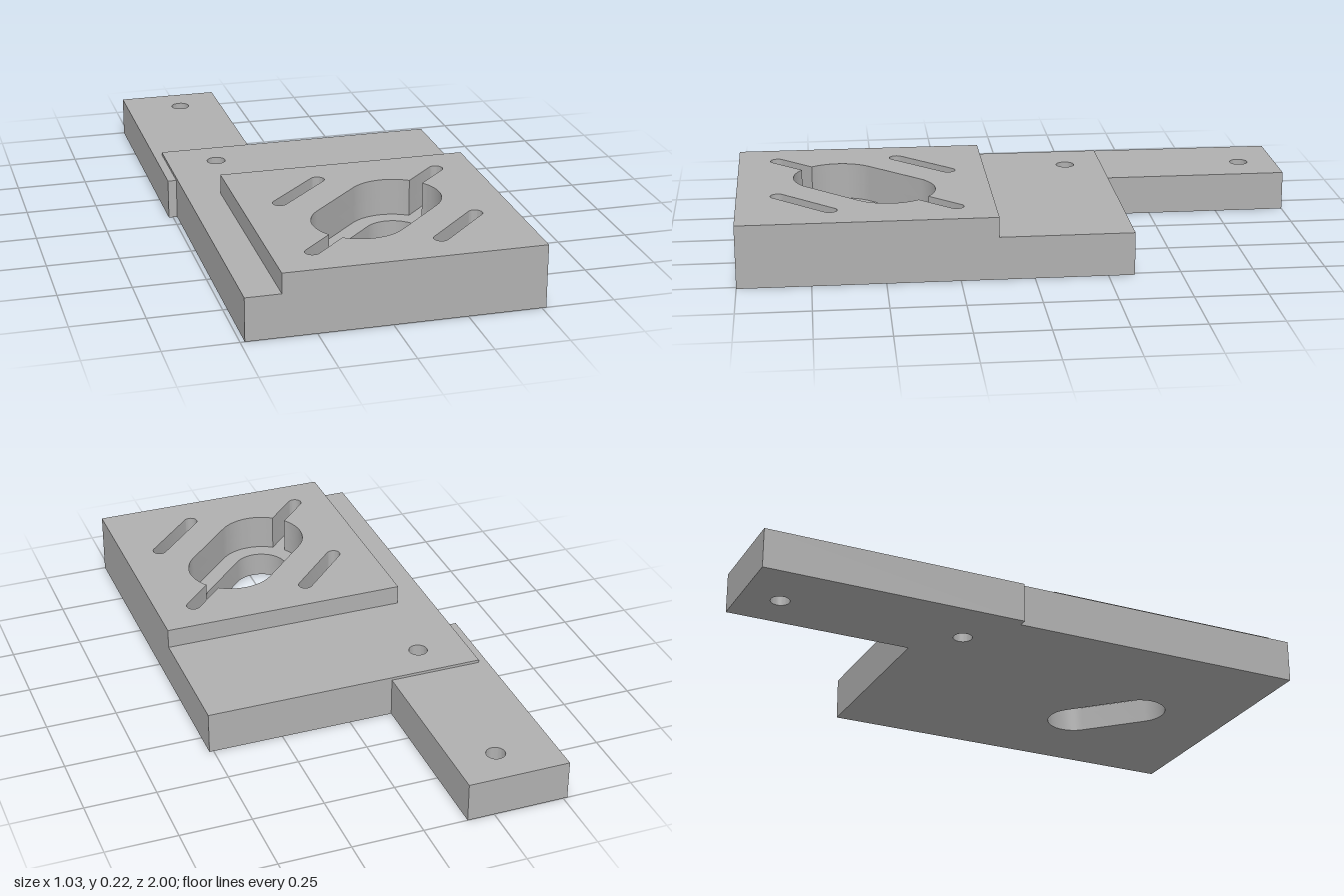
import * as THREE from 'three';
import { toCreasedNormals } from 'three/addons/utils/BufferGeometryUtils.js';

const ANGLE = Math.PI / 4; // all slots run along this diagonal

// Points of an arc around (cx, cy)
function arc(cx, cy, r, from, to, n = 24) {
  return Array.from({ length: n + 1 }, (_, i) => {
    const a = from + (to - from) * i / n;
    return new THREE.Vector2(cx + r * Math.cos(a), cy + r * Math.sin(a));
  });
}

// Turn a local outline onto the diagonal; plan coordinates are (x, -z)
function place(points, x, z) {
  const o = new THREE.Vector2();
  return new THREE.Path(points.map(p => p.rotateAround(o, ANGLE).add(new THREE.Vector2(x, -z))));
}

// Rounded slot: half is the distance from its middle to each end centre
function slot(x, z, half, r) {
  const q = Math.PI / 2;
  return place([...arc(half, 0, r, -q, q), ...arc(-half, 0, r, q, 3 * q)], x, z);
}

// Rounded pocket joined with a narrow groove running out of both ends
function groovedPocket(x, z, half, r, grooveHalf, w) {
  const q = Math.PI / 2, t = Math.asin(w / r);
  const end = [
    ...arc(half, 0, r, -q, -t),
    ...arc(grooveHalf, 0, w, -q, q, 16),
    ...arc(half, 0, r, t, q),
  ];
  return place([...end, ...end.map(p => p.clone().negate())], x, z);
}

function roundHole(x, z, r) {
  return new THREE.Path(arc(x, -z, r, 0, Math.PI * 2, 32).slice(0, -1));
}

function createModel() {
  const model = new THREE.Group();
  const grey = new THREE.MeshStandardMaterial({ color: 0xb0b0b0 });
  grey.name = 'plain grey';

  // Horizontal plate from a plan outline of [x, z] corners
  function plate(name, outline, y0, y1, holes) {
    const shape = new THREE.Shape(outline.map(([x, z]) => new THREE.Vector2(x, -z)));
    shape.holes.push(...holes);
    const geo = new THREE.ExtrudeGeometry(shape, { depth: y1 - y0, bevelEnabled: false });
    geo.rotateX(-Math.PI / 2).translate(0, y0, 0);
    const mesh = new THREE.Mesh(toCreasedNormals(geo, 0.5), grey);
    mesh.name = name;
    model.add(mesh);
  }

  const rect = (x0, x1, z0, z1) => [[x0, z1], [x1, z1], [x1, z0], [x0, z0]];
  const base = rect(-0.485, 0.515, -0.34, 1);
  const floor = 0.09; // depth level of pocket and grooves

  const cx = 0.074, cz = 0.557;
  const pocketCuts = () => [
    groovedPocket(cx, cz, 0.122, 0.16, 0.43, 0.025),
    slot(-0.14, 0.34, 0.125, 0.025),
    slot(0.288, 0.77, 0.125, 0.025),
  ];
  const baseHole = () => roundHole(-0.31, -0.205, 0.033);

  // Base block: through slot below, wider pocket above
  plate('baseLower', base, 0, floor, [slot(cx, cz, 0.122, 0.1), baseHole()]);
  plate('baseUpper', base, floor, 0.15, [...pocketCuts(), baseHole()]);

  // Raised deck
  plate('raisedDeck', rect(-0.365, 0.515, 0.12, 1), 0.15, 0.22, pocketCuts());

  // Rear arm, wrapping the corner of the base
  plate('rearArm', [
    [-0.515, -0.07], [-0.485, -0.07], [-0.485, -0.34],
    [-0.155, -0.34], [-0.155, -1], [-0.515, -1],
  ], 0, 0.14, [roundHole(-0.31, -0.865, 0.033)]);

  return model;
}

export { createModel };
